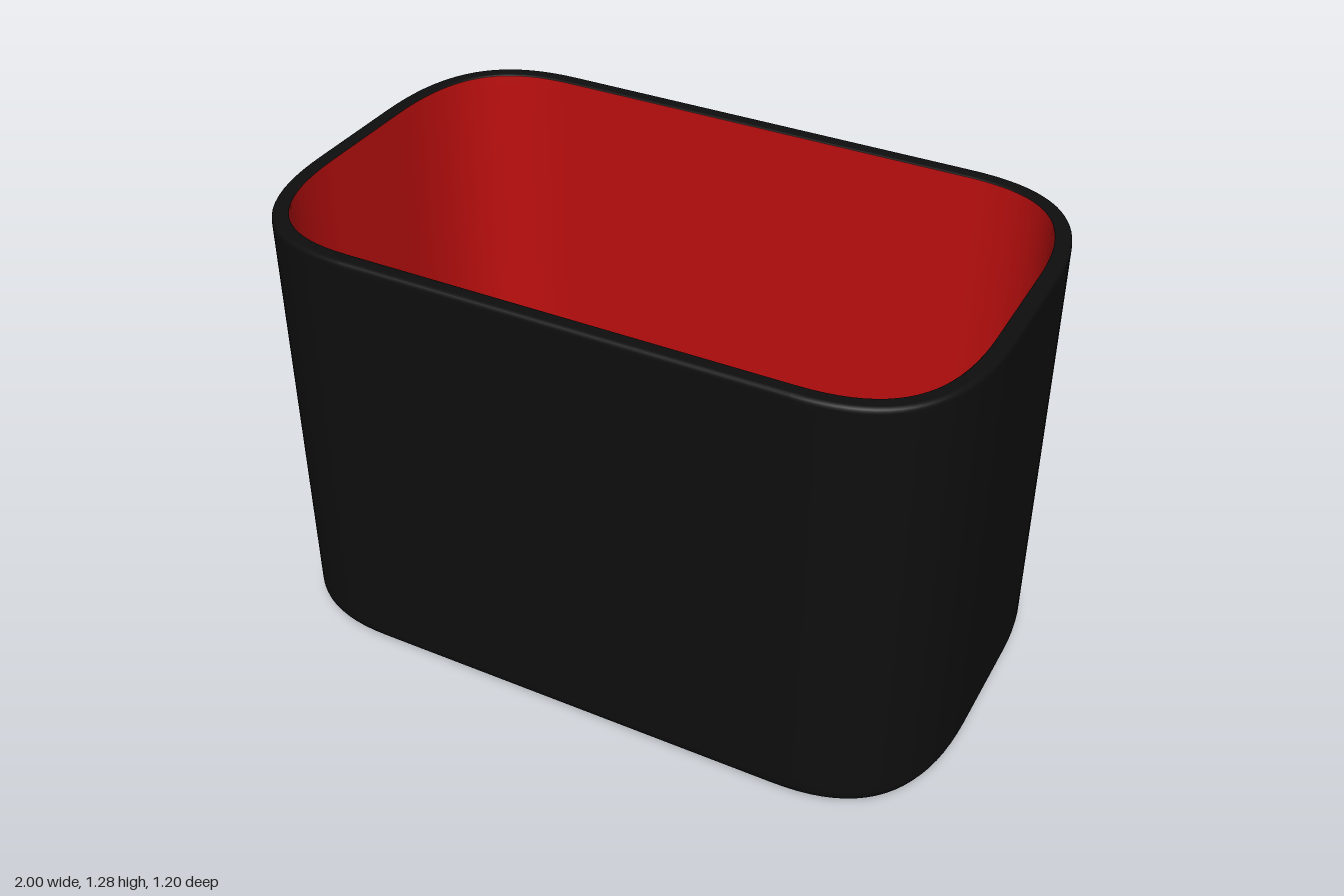
import * as THREE from 'three';

// One quarter of the softly squared outline (x, z), from the side wall to the front wall
const corner = new THREE.CubicBezierCurve(
  new THREE.Vector2(1, 0.16), new THREE.Vector2(1, 0.46),
  new THREE.Vector2(0.88, 0.6), new THREE.Vector2(0.62, 0.6));
const STEPS = 20;

// Full outline: each point with its outward normal, mirrored into four quadrants
function makeOutline() {
  const quarter = [];
  for (let i = 0; i <= STEPS; i++) {
    const p = corner.getPoint(i / STEPS), t = corner.getTangent(i / STEPS);
    quarter.push({ x: p.x, z: p.y, nx: t.y, nz: -t.x });
  }
  const outline = [];
  for (const [sx, sz] of [[1, 1], [-1, 1], [-1, -1], [1, -1]]) {
    const points = sx * sz > 0 ? quarter : [...quarter].reverse();
    for (const q of points) outline.push({ x: q.x * sx, z: q.z * sz, nx: q.nx * sx, nz: q.nz * sz });
  }
  return outline;
}

// Sweeps a profile of [inset, height, scale] rows around the outline
function sweep(name, profile, color) {
  const outline = makeOutline(), n = outline.length;
  const position = [], index = [];
  profile.forEach(([inset, y, scale = 1], row) => {
    outline.forEach((q, i) => {
      position.push((q.x - q.nx * inset) * scale, y, (q.z - q.nz * inset) * scale);
      if (row === profile.length - 1) return;
      const a = row * n + i, c = row * n + (i + 1) % n;
      index.push(a, a + n, c, c, a + n, c + n);
    });
  });
  const geometry = new THREE.BufferGeometry();
  geometry.setAttribute('position', new THREE.Float32BufferAttribute(position, 3));
  geometry.setIndex(index);
  geometry.computeVertexNormals();
  const mesh = new THREE.Mesh(geometry, new THREE.MeshStandardMaterial({ color }));
  mesh.name = name;
  return mesh;
}

// Quarter-round profile between a horizontal and a vertical run
function fillet(inset, y, dInset, dy, from, to, steps = 6) {
  return Array.from({ length: steps + 1 }, (_, i) => {
    const a = from + (to - from) * i / steps;
    return [inset + dInset * Math.cos(a), y + dy * Math.sin(a)];
  });
}

export function createModel() {
  const group = new THREE.Group();
  group.name = 'openContainer';
  const H = 1.28, WALL = 0.045, Q = Math.PI / 2;

  // Outer shell: base, rounded lower edge, wall and rim
  group.add(sweep('outerShell', [
    [0.05, 0, 0], [0.05, 0, 0.95],
    ...fillet(0.035, 0.045, -0.035, -0.045, Q, 0),
    [0, 0.07], [0, H - 0.03],
    ...fillet(0.012, H - 0.014, -0.012, 0.014, 0, Q, 4),
    [0.016, H], [WALL - 0.004, H], [WALL, H - 0.004],
  ], 0x0e0e0e));

  // Inner lining: wall, rounded lower edge and floor
  group.add(sweep('innerLining', [
    [WALL, H - 0.004], [WALL, H - 0.03], [WALL, 0.12],
    ...fillet(WALL + 0.035, 0.09, -0.035, -0.045, 0, Q),
    [WALL + 0.05, 0.045, 0.95], [WALL + 0.05, 0.045, 0],
  ], 0xbe0f0f));

  return group;
}
